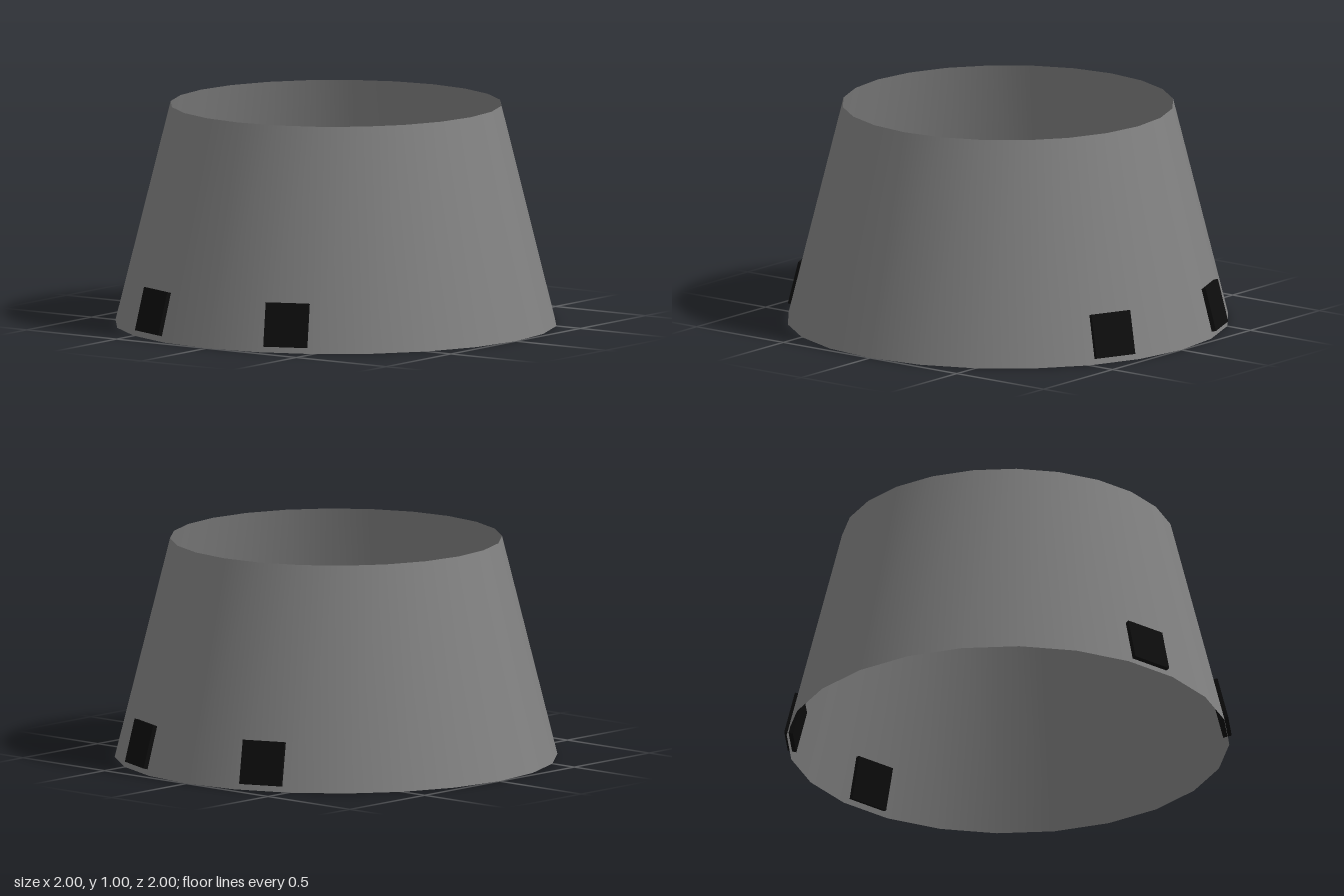
import * as THREE from 'three';

export function createModel() {
  const group = new THREE.Group();
  const grey = new THREE.MeshStandardMaterial({ color: 0x808080, side: THREE.DoubleSide });
  grey.name = 'mid grey';
  const black = new THREE.MeshStandardMaterial({ color: 0x0d0d0d });
  black.name = 'black';

  // Open tapered shell, 24 sides, smooth normals
  const bottomR = 1, topR = 0.75, height = 1, sides = 24;
  const shell = new THREE.Mesh(
    new THREE.CylinderGeometry(topR, bottomR, height, sides, 1, true), grey);
  shell.name = 'taperedShell';
  shell.position.y = height / 2;
  group.add(shell);

  // Four square blocks set through the wall, each centred on a facet
  const blockGeometry = new THREE.BoxGeometry(0.2, 0.2, 0.04);
  const lean = Math.atan((bottomR - topR) / height);
  const y = 0.122;
  const r = (bottomR - (bottomR - topR) * y) * Math.cos(Math.PI / sides);
  const names = ['frontLeftBlock', 'backLeftBlock', 'backRightBlock', 'frontRightBlock'];
  [22.5, 157.5, 202.5, 337.5].forEach((degrees, i) => {
    const a = THREE.MathUtils.degToRad(degrees);
    const block = new THREE.Mesh(blockGeometry, black);
    block.name = names[i];
    block.position.set(r * Math.sin(a), y, r * Math.cos(a));
    block.rotation.set(-lean, a, 0, 'YXZ');
    group.add(block);
  });
  return group;
}
